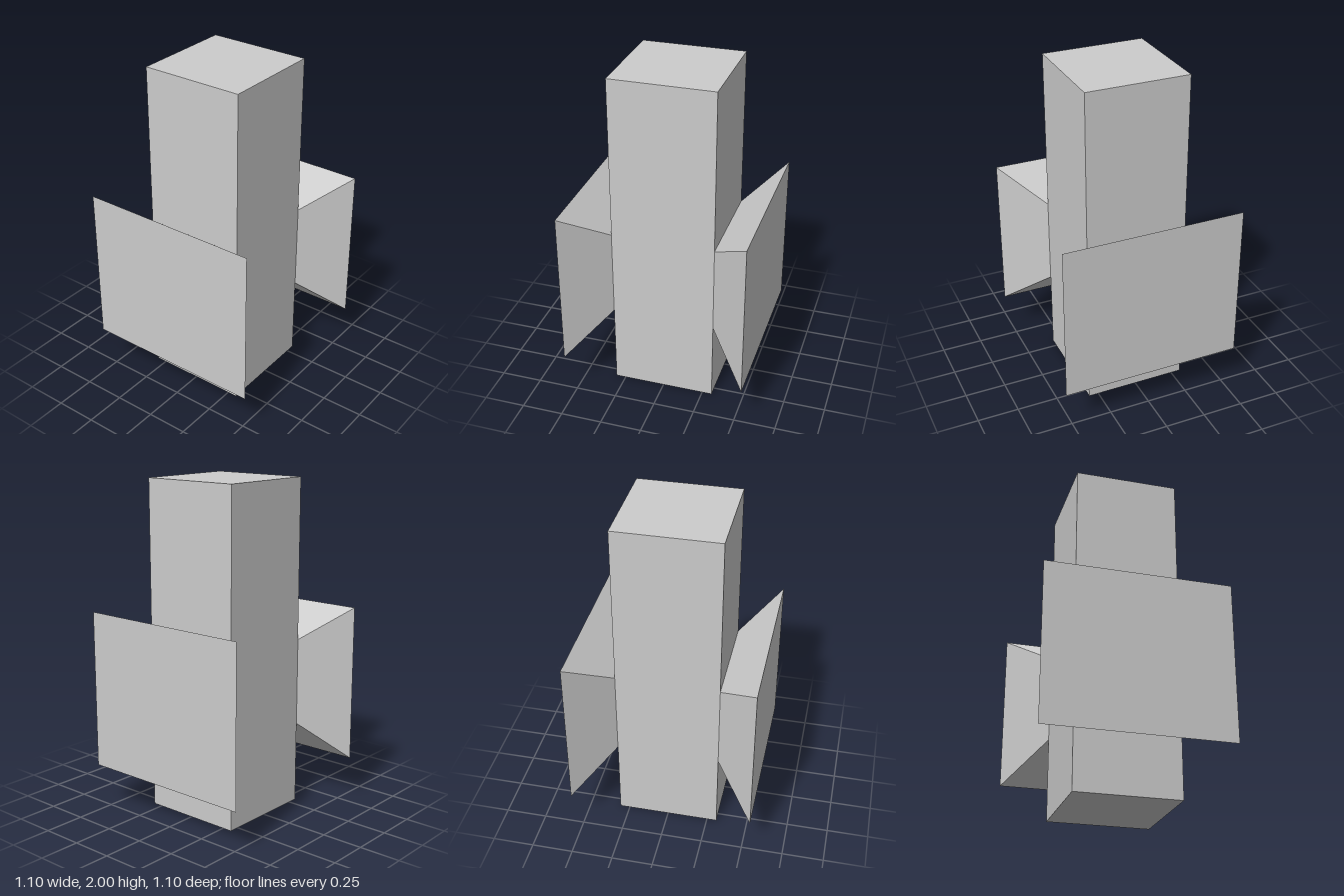
import * as THREE from 'three';

const INNER_X = 0.31, OUTER_X = 0.55;

// Block that flares from the column's side to a larger outer face
function flaredBlock(side) {
  const geo = new THREE.BoxGeometry(1, 1, 1);
  const p = geo.attributes.position;
  for (let i = 0; i < p.count; i++) {
    const outer = p.getX(i) * side > 0;
    const top = p.getY(i) > 0;
    const y = top ? (outer ? 1.22 : 1.03) : (outer ? 0.265 : 0.5);
    const x = outer ? OUTER_X : INNER_X;
    p.setXYZ(i, side * x, y, Math.sign(p.getZ(i)) * x);
  }
  geo.computeVertexNormals();
  return geo;
}

export function createModel() {
  const model = new THREE.Group();
  const material = new THREE.MeshStandardMaterial({ color: 0xcccccc, flatShading: true });
  const add = (name, geo) => {
    const mesh = new THREE.Mesh(geo, material);
    mesh.name = name;
    model.add(mesh);
    return mesh;
  };

  // Square central column
  add('column', new THREE.BoxGeometry(2 * INNER_X, 2, 2 * INNER_X)).position.y = 1;

  // Mirrored flared blocks on both sides
  add('leftFlaredBlock', flaredBlock(1));
  add('rightFlaredBlock', flaredBlock(-1));

  return model;
}
